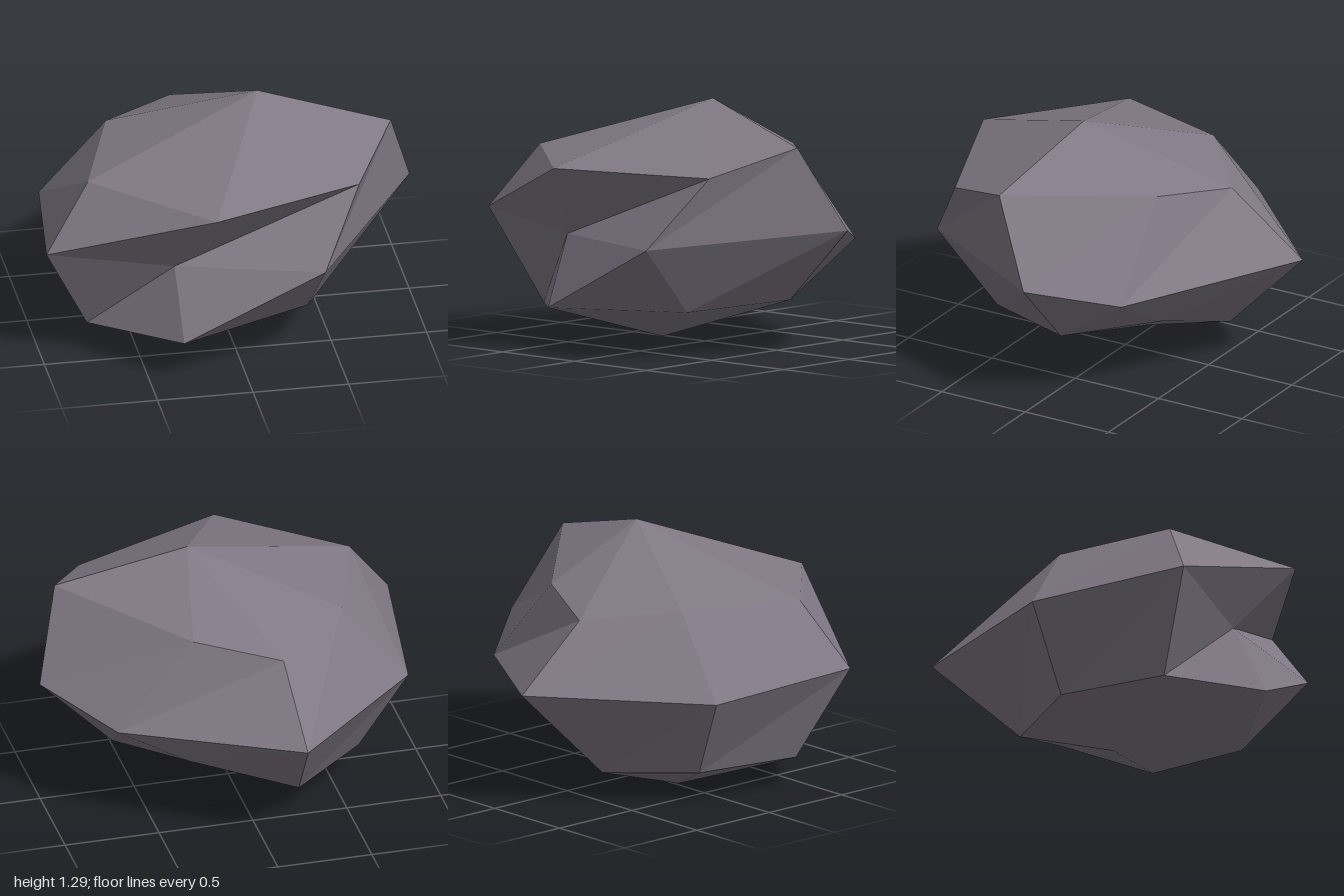
import * as THREE from 'three';

export function createModel() {
  const model = new THREE.Group();
  model.name = 'boulder';
  const stone = new THREE.MeshStandardMaterial({ color: 0x807985, flatShading: true });
  stone.name = 'grey stone';

  // Irregular seven-sided rings between a top and a bottom point,
  // each running from +x round through +z
  const top = [0.18, 1.295, 0.14];
  const rings = [
    [[0.86, 1.11, 0.24], [0.62, 0.97, 0.65], [-0.18, 0.98, 0.96], [-0.76, 1.0, 0.43],
      [-0.55, 1.015, -0.2], [-0.15, 0.95, -0.55], [0.28, 1.02, -0.36]],
    [[1.0, 0.67, 0.01], [0.4, 0.6, 0.89], [-0.35, 0.595, 0.67], [-1.0, 0.665, 0.56],
      [-0.89, 0.6, -0.265], [-0.17, 0.63, -0.965], [0.69, 0.56, -0.39]],
    [[0.61, 0.275, 0.02], [0.37, 0.24, 0.545], [-0.33, 0.23, 0.84], [-0.76, 0.17, 0.4],
      [-0.65, 0.17, -0.17], [-0.25, 0.145, -0.48], [0.31, 0.34, -0.4]],
  ];
  const bottom = [-0.28, 0, 0.02];

  // Facets: cap fans, and two triangles for each step between rings
  const positions = [];
  const facet = (a, b, c) => positions.push(...a, ...b, ...c);
  const sides = 7;
  for (let k = 0; k < sides; k++) {
    const n = (k + 1) % sides;
    facet(top, rings[0][n], rings[0][k]);
    for (let r = 0; r < rings.length - 1; r++) {
      const upper = rings[r], lower = rings[r + 1];
      facet(upper[k], upper[n], lower[n]);
      facet(upper[k], lower[n], lower[k]);
    }
    facet(bottom, rings[2][k], rings[2][n]);
  }

  const geometry = new THREE.BufferGeometry();
  geometry.setAttribute('position', new THREE.Float32BufferAttribute(positions, 3));
  geometry.computeVertexNormals();

  const rock = new THREE.Mesh(geometry, stone);
  rock.name = 'rock';
  model.add(rock);
  return model;
}
